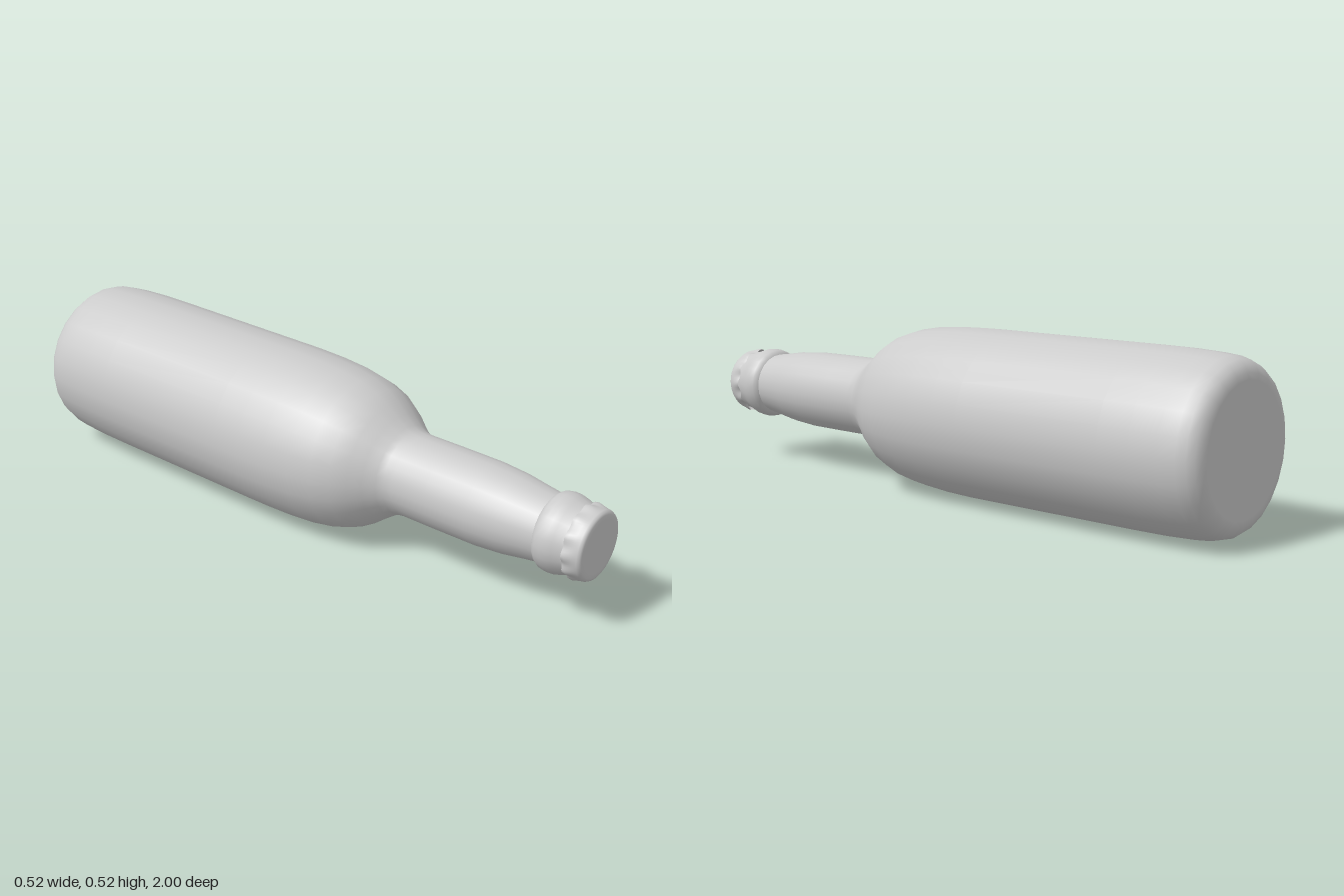
import * as THREE from 'three';
import { mergeVertices } from 'three/addons/utils/BufferGeometryUtils.js';

const AXIS_HEIGHT = 0.26;

// Lathe a [radius, z] profile around the bottle's lengthwise axis
function turned(profile, segments) {
  const points = profile.map(([r, z]) => new THREE.Vector2(r, z));
  return new THREE.LatheGeometry(points, segments).rotateX(Math.PI / 2);
}

// Crown cap: a turned shell whose skirt is pressed into flutes
function crownCap(flutes) {
  const geometry = turned([
    [0.102, 0.944], [0.105, 0.955], [0.105, 0.975], [0.103, 0.989],
    [0.099, 0.996], [0.092, 0.999], [0.08, 1], [0, 1],
  ], flutes * 8);
  const p = geometry.attributes.position;
  for (let i = 0; i < p.count; i++) {
    const x = p.getX(i), y = p.getY(i), z = p.getZ(i);
    const depth = THREE.MathUtils.clamp((0.978 - z) / 0.03, 0, 1);
    const wave = 0.5 + 0.5 * Math.cos(flutes * Math.atan2(y, x));
    const scale = 1 + 0.08 * depth * wave;
    p.setXY(i, x * scale, y * scale);
  }
  geometry.deleteAttribute('uv');
  geometry.deleteAttribute('normal');
  const welded = mergeVertices(geometry, 1e-5);
  welded.computeVertexNormals();
  return welded;
}

export function createModel() {
  const group = new THREE.Group();
  group.name = 'bottle';
  const material = new THREE.MeshStandardMaterial({ color: 0xcccccc, side: THREE.DoubleSide });

  function add(name, geometry) {
    const mesh = new THREE.Mesh(geometry, material);
    mesh.name = name;
    mesh.position.y = AXIS_HEIGHT;
    group.add(mesh);
  }

  // Base, body, shoulder and neck in one smooth profile
  add('glassBody', turned([
    [0, -1], [0.19, -1], [0.208, -0.998], [0.228, -0.987], [0.242, -0.968],
    [0.25, -0.94], [0.255, -0.89], [0.259, -0.8], [0.26, -0.7],
    [0.26, -0.2], [0.26, -0.1], [0.257, 0], [0.25, 0.09], [0.237, 0.165],
    [0.217, 0.225], [0.19, 0.27], [0.163, 0.305], [0.14, 0.338], [0.13, 0.358],
    [0.126, 0.385], [0.126, 0.5], [0.125, 0.64], [0.118, 0.73],
    [0.107, 0.8], [0.1, 0.85],
  ], 24));

  // Rounded lip ring, tapering to the mouth under the cap
  add('lip', turned([
    [0.099, 0.846], [0.107, 0.851], [0.114, 0.862], [0.117, 0.88],
    [0.116, 0.898], [0.111, 0.915], [0.104, 0.935], [0.1, 0.955], [0.098, 0.975],
  ], 24));

  add('cap', crownCap(12));
  return group;
}
